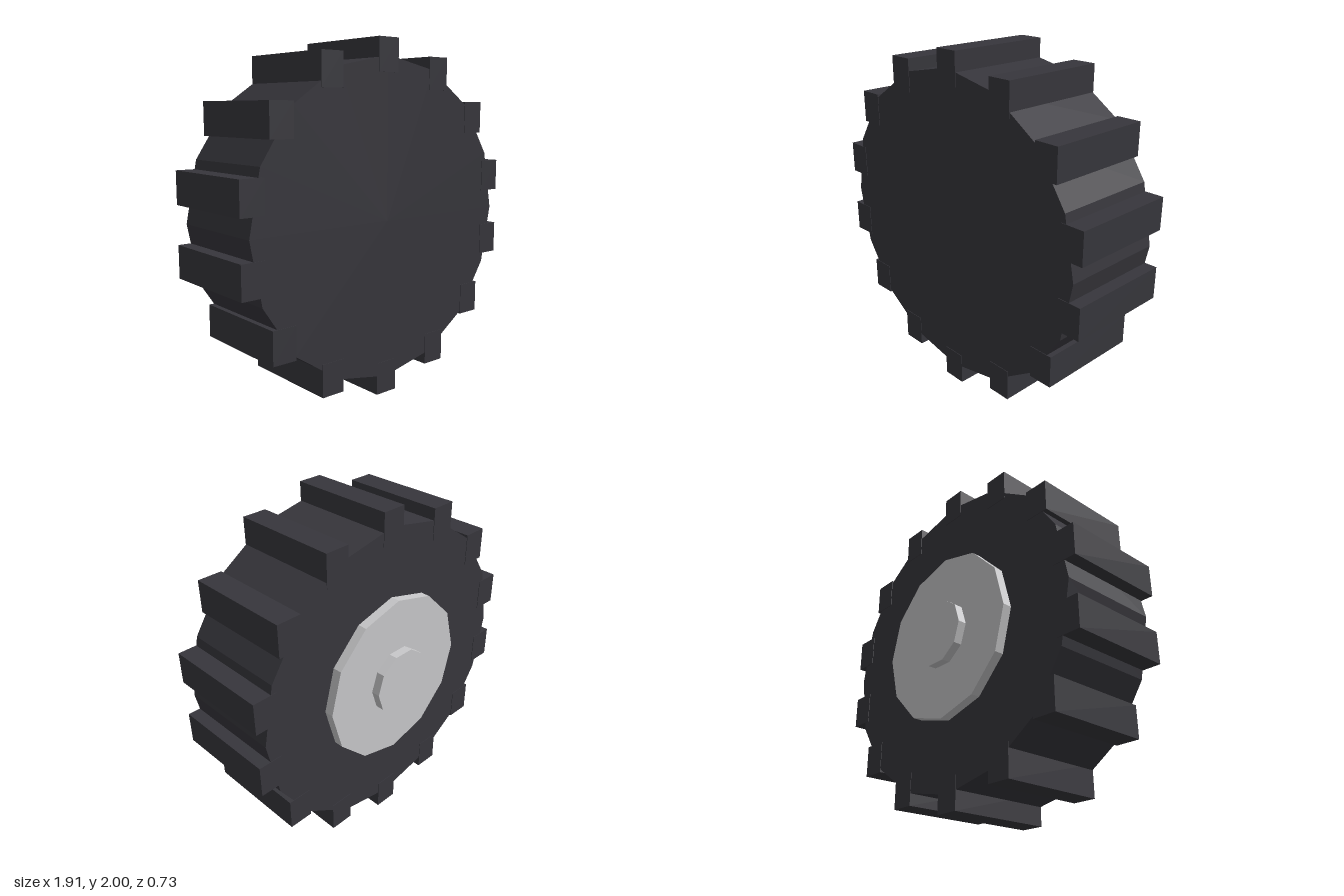
import * as THREE from 'three';

export function createModel() {
  const rubber = new THREE.MeshStandardMaterial({ color: 0x37363c });
  rubber.name = 'darkRubber';
  const metal = new THREE.MeshStandardMaterial({ color: 0xc8c8ca });
  metal.name = 'lightMetal';

  const wheel = new THREE.Group();
  wheel.name = 'wheel';
  wheel.position.y = 1;

  // Faceted disc along z with one corner on the +x axis
  function disc(name, radius, sides, zBack, zFront, material) {
    const geometry = new THREE.CylinderGeometry(radius, radius, zFront - zBack, sides, 1, false, Math.PI / 2)
      .rotateX(Math.PI / 2)
      .toNonIndexed();
    geometry.computeVertexNormals(); // flat facets
    const mesh = new THREE.Mesh(geometry, material);
    mesh.name = name;
    mesh.position.z = (zBack + zFront) / 2;
    wheel.add(mesh);
  }

  disc('tyre', 0.905, 16, -0.261, 0.362, rubber);
  disc('hubPlate', 0.5, 12, -0.315, -0.255, metal);
  disc('hubCap', 0.197, 10, -0.365, -0.31, metal);

  // Upright tread blocks spaced around the rim
  const treads = new THREE.Group();
  treads.name = 'treads';
  const blockGeometry = new THREE.BoxGeometry(0.144, 0.186, 0.629);
  const count = 14;
  for (let i = 0; i < count; i++) {
    const angle = (i / count) * Math.PI * 2;
    const block = new THREE.Mesh(blockGeometry, rubber);
    block.name = 'treadBlock';
    block.position.set(Math.sin(angle) * 0.907, Math.cos(angle) * 0.907, 0.0505);
    treads.add(block);
  }
  wheel.add(treads);

  const model = new THREE.Group();
  model.name = 'treadedWheel';
  model.add(wheel);
  return model;
}
